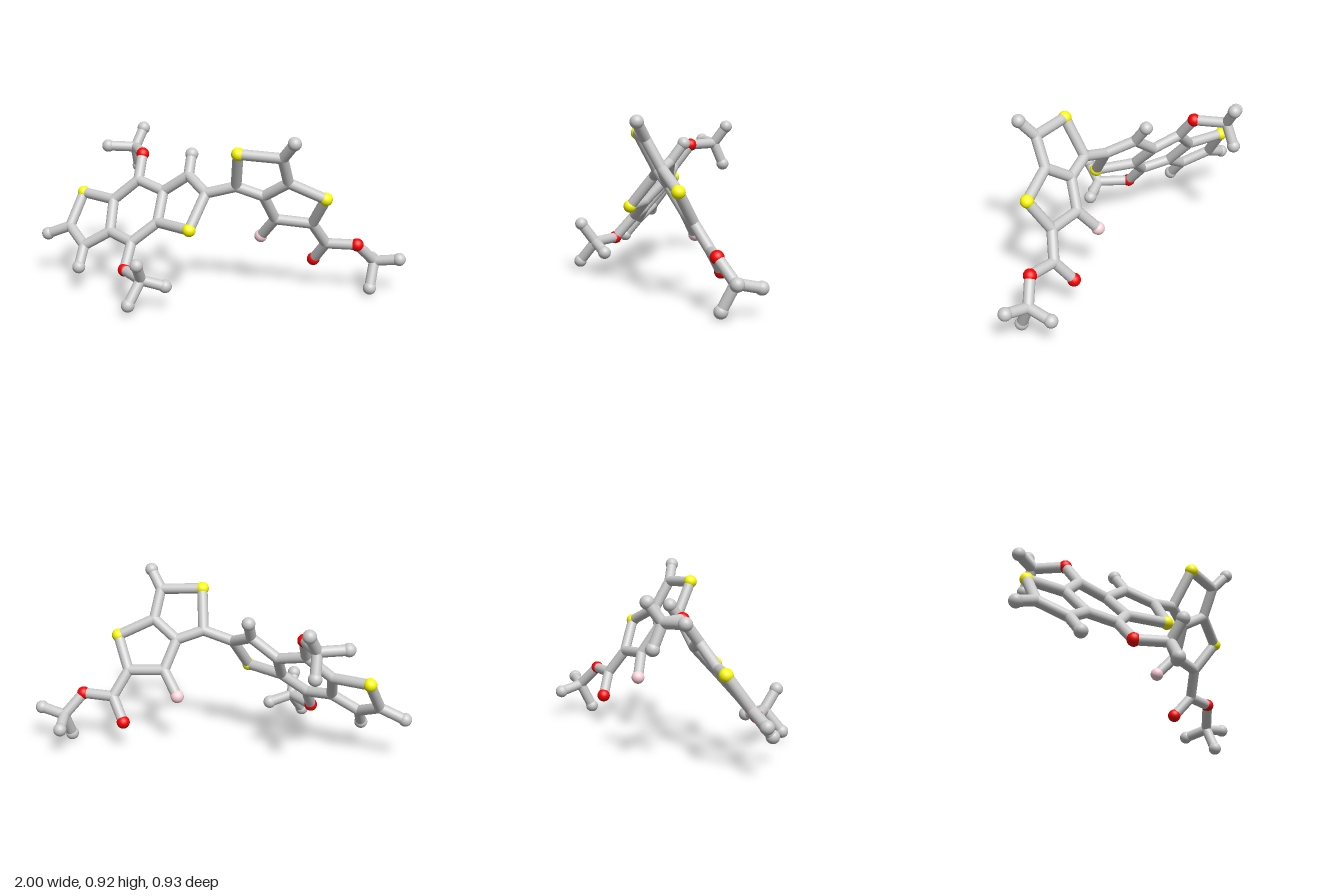
import * as THREE from 'three';

const ROD = 0.028, BALL = 0.035;
const UP = new THREE.Vector3(0, 1, 0);

const materials = {
  grey: new THREE.MeshStandardMaterial({ color: 0xcccccc }),
  yellow: new THREE.MeshStandardMaterial({ color: 0xffff00 }),
  red: new THREE.MeshStandardMaterial({ color: 0xff0000 }),
  pink: new THREE.MeshStandardMaterial({ color: 0xffd5dc }),
};
const ballGeometry = new THREE.SphereGeometry(1, 24, 16);
const rodGeometry = new THREE.CylinderGeometry(ROD, ROD, 1, 20, 1, true);

// Carbon joints: spheres flush with the rods
const joints = {
  a: [-0.835, 0.3, -0.055], b: [-0.72, 0.23, 0.053], c: [-0.575, 0.315, 0.038], d: [-0.59, 0.457, -0.09],
  e: [-0.455, 0.57, -0.118], f: [-0.3, 0.53, -0.062], g: [-0.3, 0.395, 0.07], h: [-0.432, 0.29, 0.118],
  i: [-0.157, 0.63, -0.05], j: [-0.04, 0.567, 0.056],
  k: [0.122, 0.614, 0.06], l: [0.378, 0.8, 0.157], m: [0.398, 0.653, 0.078], n: [0.262, 0.562, 0.03],
  o: [0.508, 0.402, -0.06], p: [0.312, 0.415, -0.054], q: [0.576, 0.273, -0.133],
  upperMethyl: [-0.54, 0.692, -0.365], lowerMethyl: [-0.317, 0.17, 0.348], esterMethyl: [0.832, 0.17, -0.198],
};

// Larger balls at the tips and hetero atoms
const yellowBalls = {
  s1: [-0.787, 0.465, -0.167], s2: [-0.102, 0.398, 0.178], s3: [0.152, 0.813, 0.167], s4: [0.586, 0.564, 0.028],
};
const redBalls = {
  upperOxygen: [-0.455, 0.692, -0.213], lowerOxygen: [-0.442, 0.17, 0.223],
  esterOxygen: [0.742, 0.277, -0.129], carbonylOxygen: [0.503, 0.157, -0.198],
};
const pinkBalls = { pinkTip: [0.225, 0.296, -0.118] };
const greyBalls = {
  ha: [-0.967, 0.246, -0.058], hb: [-0.727, 0.133, 0.133], hi: [-0.156, 0.728, -0.123], hl: [0.443, 0.89, 0.208],
  u1: [-0.688, 0.7, -0.325], u2: [-0.509, 0.789, -0.43], u3: [-0.54, 0.571, -0.418],
  w1: [-0.316, 0.274, 0.424], w2: [-0.199, 0.13, 0.308], w3: [-0.365, 0.056, 0.428],
  e1: [0.965, 0.195, -0.176], e2: [0.817, 0.036, -0.133], e3: [0.811, 0.14, -0.328],
};

// Each string is a chain of rods between named points
const chains = {
  fusedRings: ['s1 a b c d s1', 'd e f g h c', 'f i j s2 g'],
  twinRings: ['k s3 l m n k', 'm s4 o p n'],
  ringLink: ['j k'],
  ringTips: ['a ha', 'b hb', 'i hi', 'l hl', 'p pinkTip'],
  upperBranch: ['e upperOxygen upperMethyl u1', 'u2 upperMethyl u3'],
  lowerBranch: ['h lowerOxygen lowerMethyl w1', 'w2 lowerMethyl w3'],
  esterBranch: ['o q esterOxygen esterMethyl e1', 'e2 esterMethyl e3', 'q carbonylOxygen'],
};

function addBalls(parent, name, table, radius, material) {
  const group = new THREE.Group();
  group.name = name;
  for (const position of Object.values(table)) {
    const ball = new THREE.Mesh(ballGeometry, material);
    ball.name = 'ball';
    ball.position.set(...position);
    ball.scale.setScalar(radius);
    group.add(ball);
  }
  parent.add(group);
}

function makeRod(from, to) {
  const start = new THREE.Vector3(...from), end = new THREE.Vector3(...to);
  const direction = end.clone().sub(start);
  const rod = new THREE.Mesh(rodGeometry, materials.grey);
  rod.name = 'rod';
  rod.position.copy(start).lerp(end, 0.5);
  rod.scale.y = direction.length();
  rod.quaternion.setFromUnitVectors(UP, direction.normalize());
  return rod;
}

export function createModel() {
  const model = new THREE.Group();
  model.name = 'stickMolecule';

  addBalls(model, 'carbonJoints', joints, ROD, materials.grey);
  addBalls(model, 'hydrogenTips', greyBalls, BALL, materials.grey);
  addBalls(model, 'sulphurBalls', yellowBalls, BALL, materials.yellow);
  addBalls(model, 'oxygenBalls', redBalls, BALL, materials.red);
  addBalls(model, 'pinkTips', pinkBalls, BALL, materials.pink);

  const points = { ...joints, ...yellowBalls, ...redBalls, ...pinkBalls, ...greyBalls };
  for (const [name, list] of Object.entries(chains)) {
    const group = new THREE.Group();
    group.name = name;
    for (const chain of list) {
      const stops = chain.split(' ');
      for (let n = 1; n < stops.length; n++) group.add(makeRod(points[stops[n - 1]], points[stops[n]]));
    }
    model.add(group);
  }
  return model;
}
